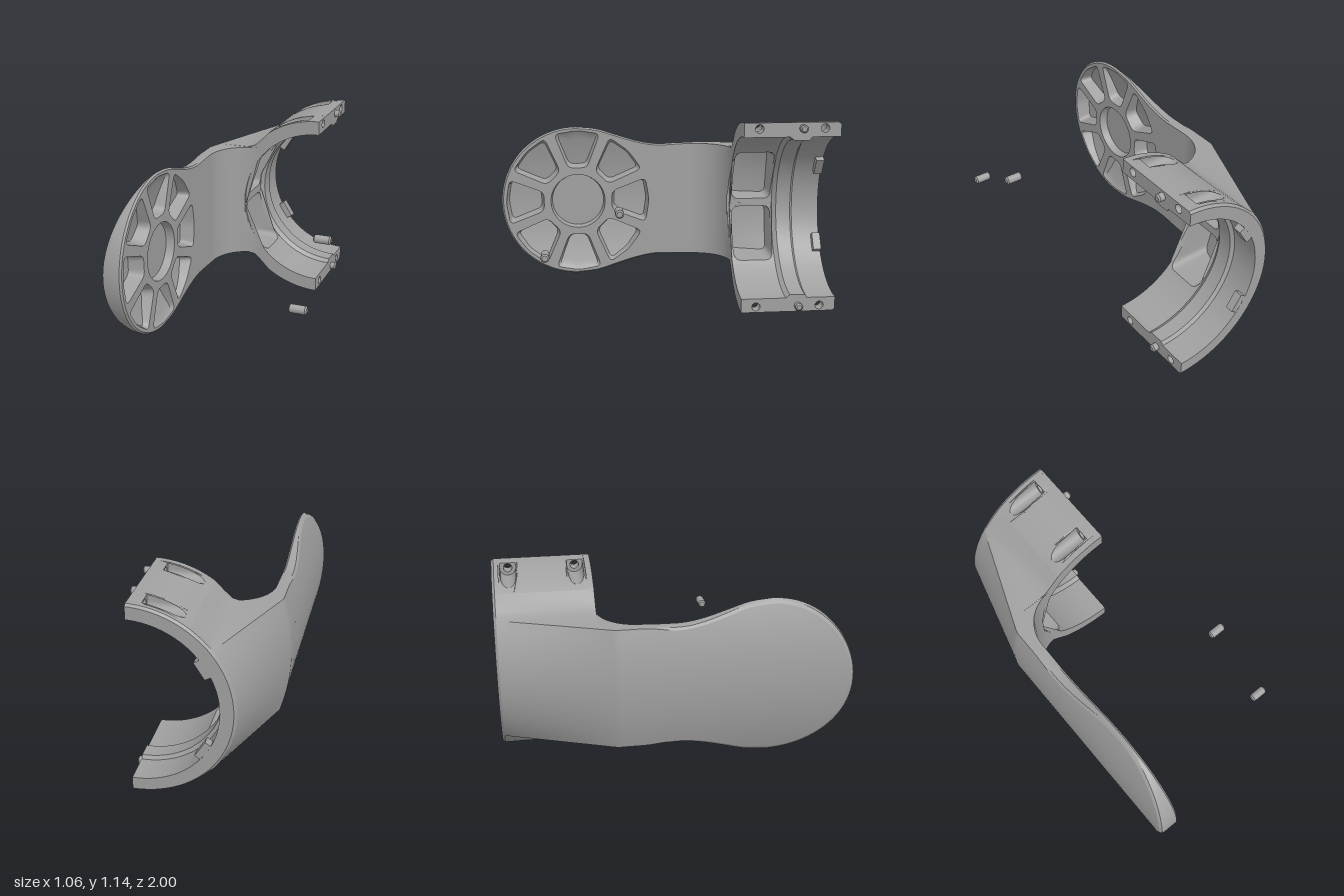
import * as THREE from 'three';
import { mergeGeometries, toCreasedNormals } from 'three/addons/utils/BufferGeometryUtils.js';

const V = (x, y, z) => new THREE.Vector3(x, y, z);
const { lerp, clamp, smoothstep } = THREE.MathUtils;
const CX = 0.215, CY = 0.57, RO = 0.57, RB = 0.485; // clamp axis, outer and bore radius
const range = (a, b, n) => Array.from({ length: n + 1 }, (_, i) => lerp(a, b, i / n));

// Surface stitched from rows of equal length
function grid(rows) {
  const n = rows[0].length, index = [];
  for (let r = 0; r < rows.length - 1; r++) for (let i = 0; i < n - 1; i++) {
    const a = r * n + i, b = a + n;
    index.push(a, a + 1, b, a + 1, b + 1, b);
  }
  const g = new THREE.BufferGeometry().setFromPoints(rows.flat());
  g.setIndex(index);
  return g.toNonIndexed();
}
// Outlined face with holes, each 2D point placed by map(a, b)
function face(outline, holes, map) {
  const v2 = (ps) => ps.map(([a, b]) => new THREE.Vector2(a, b));
  const shape = new THREE.Shape(v2(outline));
  holes.forEach((h) => shape.holes.push(new THREE.Path(v2(h))));
  const g = new THREE.ShapeGeometry(shape);
  g.deleteAttribute('uv'); g.deleteAttribute('normal');
  const p = g.attributes.position;
  for (let i = 0; i < p.count; i++) p.setXYZ(i, ...map(p.getX(i), p.getY(i)).toArray());
  return g.toNonIndexed();
}
// Closed polygon with rounded corners and short edges
function roundPoly(corners, r) {
  const pts = [], n = corners.length, c = corners.map(([a, b]) => new THREE.Vector2(a, b));
  c.forEach((p, i) => {
    const toward = (q) => p.clone().add(q.clone().sub(p).setLength(r));
    pts.push(...new THREE.QuadraticBezierCurve(toward(c[(i + n - 1) % n]), p, toward(c[(i + 1) % n])).getPoints(5));
  });
  return dense(pts.map((p) => [p.x, p.y]));
}
function dense(pts) {
  return pts.flatMap((p, i) => {
    const q = pts[(i + 1) % pts.length];
    const n = Math.max(1, Math.ceil(Math.hypot(q[0] - p[0], q[1] - p[1]) / 0.03));
    return range(0, 1, n).slice(0, -1).map((t) => [lerp(p[0], q[0], t), lerp(p[1], q[1], t)]);
  });
}
const circle = (a, b, r, n = 24) => range(0, Math.PI * 2, n).slice(0, -1)
  .map((t) => [a + r * Math.cos(t), b + r * Math.sin(t)]);
// Tapered pocket from a (z, y) outline on a face down to a floor
function pocket(outline, rimX, floorX, taper) {
  const n = outline.length, loop = [...outline, outline[0]];
  const cz = outline.reduce((s, p) => s + p[0], 0) / n, cy = outline.reduce((s, p) => s + p[1], 0) / n;
  const row = (s, fx) => loop.map(([z, y]) => {
    const a = cz + (z - cz) * s, b = cy + (y - cy) * s;
    return V(fx(b, a), b, a);
  });
  return grid([row(1, rimX), row(taper, floorX), row(taper * 0.6, floorX), row(taper * 0.3, floorX), row(0, floorX)]);
}

// Shared surfaces
const arcY = (x) => Math.sqrt(RO * RO - (x - CX) ** 2);
const cylX = (y, r) => CX - Math.sqrt(r * r - y * y);
const domeX = (y) => -0.53 + 0.42 * y * y;
const blend = (z) => clamp((z + 1) / 0.65, 0, 1);
const outX = (y, z) => lerp(cylX(y, RO), domeX(y), blend(z));

// Clamp outline: index 0 is the middle of the back, +-24 the ends of the arms
const filletRing = [-0.215, -0.19, -0.15, -0.11];
const filletBlock = [[-0.26, 0.36], [-0.21, 0.37], [-0.165, 0.41], [-0.11, arcY(-0.11)]];
function outer(j, z) {
  const k = Math.abs(j), s = Math.sign(j);
  if (k <= 8) return V(outX(k * 0.045, z), s * k * 0.045, z);
  if (k <= 12) {
    const rx = filletRing[k - 9], [bx, by] = filletBlock[k - 9], t = blend(z);
    return V(lerp(rx, bx, t), s * lerp(arcY(rx), by, t), z);
  }
  const x = lerp(-0.11, CX, (k - 12) / 12);
  return V(x, s * arcY(x), z);
}
function bore(j, r, z) {
  const k = Math.abs(j), s = Math.sign(j);
  const a = k <= 8 ? Math.asin(k * 0.045 / r) : lerp(Math.asin(0.36 / r), Math.PI / 2, (k - 8) / 16);
  return V(CX - r * Math.cos(a), s * r * Math.sin(a), z);
}

function clampParts() {
  const front = -0.43, all = range(-24, 24, 48), core = range(-12, 12, 24);
  const steps = [[-0.7, RB], [-0.725, 0.465], [-0.815, 0.465], [-0.83, RB], [-1, RB]];
  const inset = (p) => V(CX + (p.x - CX) * 0.98, p.y * 0.98, -1);
  const g = [
    grid(range(-0.985, front, 14).map((z) => core.map((j) => outer(j, z)))),
    grid([all.map((j) => outer(j, -0.985)), all.map((j) => inset(outer(j, -1))), all.map((j) => bore(j, RB, -1))]),
    grid([all.map((j) => outer(j, front)), all.map((j) => bore(j, RB, front))]),
    grid(steps.map(([z, r]) => all.map((j) => bore(j, r, z)))),
  ];
  // Bore wall with two deep pockets
  const boreX = (y) => cylX(y, RB);
  const pockets = [1, -1].map((s) => roundPoly(
    [[-0.69, s * 0.025], [-0.445, s * 0.025], [-0.445, s * 0.342], [-0.69, s * 0.342]], 0.045));
  g.push(face(dense([[-0.7, -0.36], [front, -0.36], [front, 0.36], [-0.7, 0.36]]), pockets, (z, y) => V(boreX(y), y, z)));
  pockets.forEach((p) => g.push(pocket(p, boreX, (y, z) => outX(y, z) + 0.05, 0.9)));

  const slots = [-0.905, -0.52], by = 0.535, sr = 0.045, seat = 0.14;
  const floorY = (w) => by - Math.sqrt(Math.max(0, sr * sr - w * w));
  const ws = range(-Math.PI / 2, Math.PI / 2, 16).map((a) => sr * Math.sin(a));
  const startX = (w) => cylX(floorY(w), RO);
  for (const s of [1, -1]) {
    const arm = range(12, 24, 12).map((j) => j * s), wall = range(8, 24, 16).map((j) => j * s);
    g.push(grid([front, -0.7].map((z) => wall.map((j) => bore(j, RB, z)))));
    for (const [a, b] of [[-0.985, -0.96], [-0.85, -0.575], [-0.465, front]])
      g.push(grid([a, b].map((z) => arm.map((j) => outer(j, z)))));
    // Flat mating face with bolt holes
    g.push(face([[front, RB], ...steps, [-1, RO * 0.98], [-0.985, RO], [front, RO]],
      slots.map((z) => circle(z, by, 0.025)), (z, y) => V(CX, s * y, z)));
    for (const zc of slots) {
      // Bolt slot running out through the curved outside
      const rim = dense([[seat, zc - sr], ...ws.map((w) => [startX(w), zc + w]), [seat, zc + sr]]);
      g.push(face(dense([[-0.11, zc - 0.055], [CX, zc - 0.055], [CX, zc + 0.055], [-0.11, zc + 0.055]]), [rim],
        (x, z) => V(x, s * arcY(x), z)));
      g.push(grid([0, 1].map((t) => ws.map((w) => V(lerp(startX(w), seat, t), s * floorY(w), zc + w)))));
      for (const w of [-sr, sr]) {
        const xs = range(startX(sr), seat, 6);
        g.push(grid([xs.map((x) => V(x, s * by, zc + w)), xs.map((x) => V(x, s * arcY(x), zc + w))]));
      }
      g.push(face([...ws.map((w) => [zc + w, floorY(w)]), [zc + sr, arcY(seat)], [zc - sr, arcY(seat)]],
        [circle(zc, by, 0.025)], (z, y) => V(seat, s * y, z)));
      const hole = circle(zc, by, 0.025);
      g.push(grid([seat, CX].map((x) => [...hole, hole[0]].map(([z, y]) => V(x, s * y, z)))));
    }
  }
  return g;
}

function neckParts() {
  // Closed sections sweeping along the inside fillet into the clamp
  const js = range(-8, 8, 16);
  return [grid(range(0, Math.PI / 2, 16).map((a) => {
    const z = -0.2 - 0.23 * Math.sin(a), xin = -0.18 - 0.23 * Math.cos(a);
    const back = js.map((j) => outer(j, z));
    const inner = js.map((j) => V(Math.min(xin, cylX(j * 0.045, RB)), j * 0.045, z)).reverse();
    return [...back, ...inner, back[0]];
  }))];
}

function discParts() {
  const faceX = -0.41, dz = 0.525, dr = 0.475;
  const spline = new THREE.CatmullRomCurve3([[-0.2, 0.36], [-0.08, 0.36], [0.04, 0.362], [0.15, 0.383], [0.27, 0.42],
    [0.4, 0.461], [dz, dr]].map(([z, y]) => V(0, y, z)));
  const top = [...spline.getPoints(24).map((p) => [p.z, p.y]),
    ...range(Math.PI / 2, 0, 20).slice(1).map((a) => [dz + dr * Math.cos(a), dr * Math.sin(a)])];
  const inset = (d) => top.map(([z, y]) =>
    [z - d * Math.max(0, (z - dz) / dr), y * (1 - d / dr * smoothstep(z, -0.2, 0))]);
  const full = (d) => [...inset(d), ...inset(d).slice(0, -1).reverse().map(([z, y]) => [z, -y])];
  const rim = (d, fx) => full(d).map(([z, y]) => V(fx(y), y, z));
  const g = [
    grid(inset(0.025).map(([z, y]) => range(-1, 1, 20).map((u) => V(domeX(u * y), u * y, z)))),
    grid([rim(0.025, domeX), rim(0.007, (y) => domeX(y) + 0.008), rim(0, (y) => Math.min(domeX(y) + 0.028, -0.42)),
      rim(0, () => -0.42), rim(0.01, () => faceX)]),
  ];
  // Ring of eight lightening pockets around a round recess
  const wedge = [[0.215, -0.06], [0.215, 0.06], [0.43, 0.143], [0.453, 0], [0.43, -0.143]];
  const pockets = range(0, Math.PI * 2, 8).slice(1).map((a) => roundPoly(wedge.map(([r, t]) =>
    [0.52 + r * Math.cos(a) - t * Math.sin(a), r * Math.sin(a) + t * Math.cos(a)]), 0.035));
  const recess = circle(0.52, 0, 0.172, 40);
  g.push(face(full(0.01), [...pockets, recess], (z, y) => V(faceX, y, z)));
  pockets.forEach((p) => g.push(pocket(p, () => faceX, (y) => Math.min(domeX(y) + 0.03, -0.416), 0.87)));
  g.push(pocket(recess, () => faceX, () => -0.46, 0.95));
  return g;
}

export function createModel() {
  const group = new THREE.Group();
  const grey = new THREE.MeshStandardMaterial({ color: 0xa0a0a0, side: THREE.DoubleSide });
  grey.name = 'grey';
  const add = (name, geometry) => {
    const mesh = new THREE.Mesh(geometry, grey);
    mesh.name = name;
    group.add(mesh);
    return mesh;
  };
  const smooth = (parts) => {
    const g = mergeGeometries(parts).scale(10, 10, 10);
    return toCreasedNormals(g, 0.55).scale(0.1, 0.1, 0.1);
  };
  add('halfClamp', smooth(clampParts()));
  add('neck', smooth(neckParts()));
  add('disc', smooth(discParts()));

  // Chamfered pins lying along x
  const pin = (name, x0, x1, y, z, r) => {
    const c = 0.008, h = x1 - x0;
    const profile = [[0, 0], [r - c, 0], [r, c], [r, h - c], [r - c, h], [0, h]].map(([a, b]) => new THREE.Vector2(a, b));
    const g = new THREE.LatheGeometry(profile, 24).scale(10, 10, 10);
    const m = add(name, toCreasedNormals(g, 0.5).scale(0.1, 0.1, 0.1));
    m.rotation.z = -Math.PI / 2;
    m.position.set(x0, y, z);
  };
  pin('loosePinUpper', 0.43, 0.53, 0.122, 0.305, 0.024);
  pin('loosePinLower', 0.43, 0.53, -0.115, 0.715, 0.024);
  for (const s of [1, -1]) {
    pin('locatingPin', 0.2, 0.252, s * 0.535, -0.775, 0.023);
    // Small stop inside the bore
    const a = 0.56, tab = add('boreTab', new THREE.BoxGeometry(0.06, 0.11, 0.05));
    tab.position.set(CX - 0.475 * Math.cos(a), s * 0.475 * Math.sin(a), -0.974);
    tab.rotation.z = -s * a;
  }
  group.children.forEach((m) => { m.position.y += CY; });
  return group;
}
